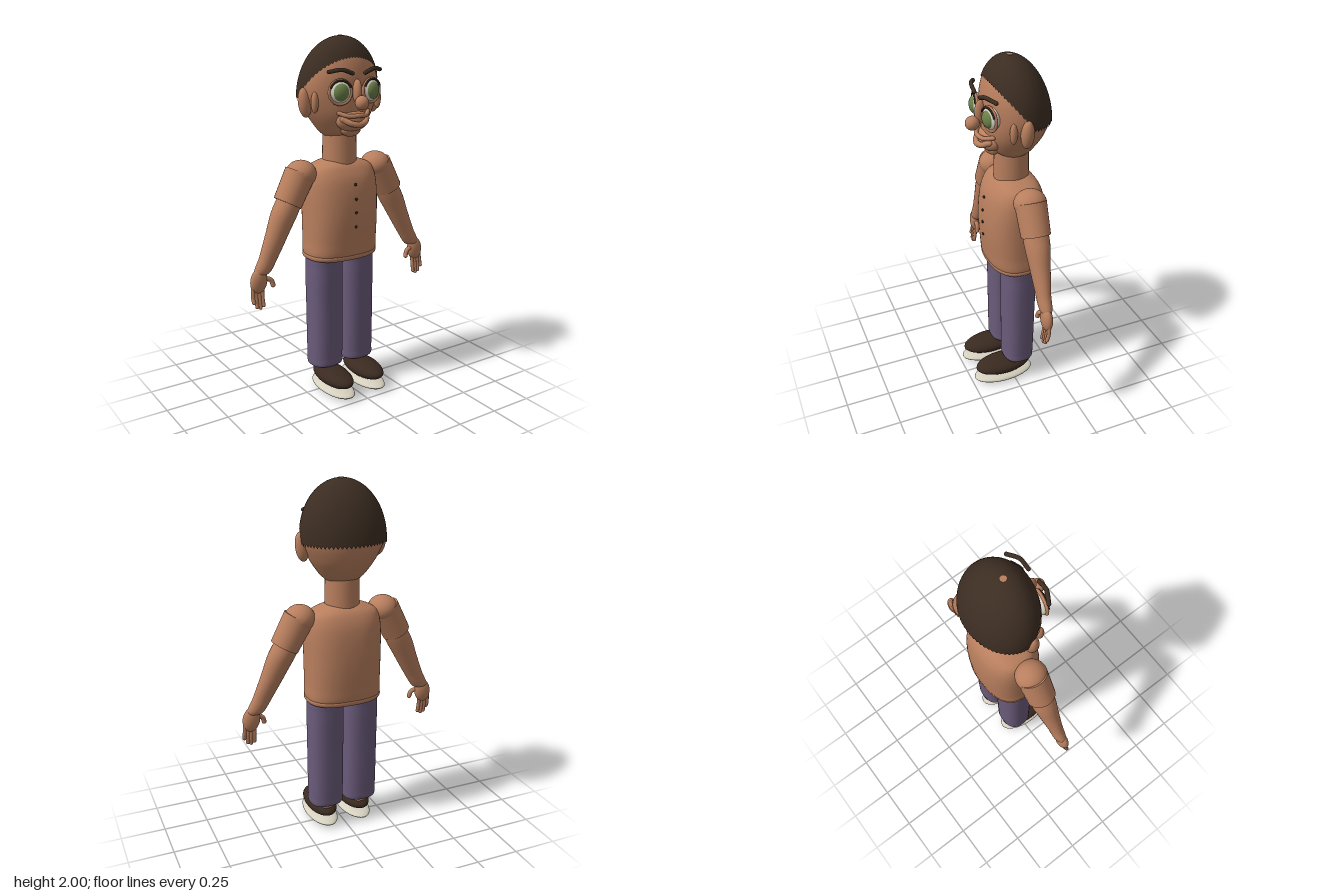
import * as THREE from 'three';

const mat = (name, color) => {
  const m = new THREE.MeshStandardMaterial({ color });
  m.name = name;
  return m;
};

export function createModel() {
  const skin = mat('skin', 0xb97f5e);
  const hairCol = mat('hair brown', 0x3c2d22);
  const pants = mat('trouser purple', 0x6b5b7b);
  const shoeCol = mat('shoe brown', 0x3a2a20);
  const soleCol = mat('sole cream', 0xd6d0bf);
  const white = mat('eye white', 0xd9d5c6);
  const green = mat('iris green', 0x6c8049);
  const dark = mat('button dark', 0x2a211c);

  const root = new THREE.Group();
  const add = (name, geo, material, parent = root) => {
    const m = new THREE.Mesh(geo, material);
    m.name = name;
    parent.add(m);
    return m;
  };
  const V = (p) => new THREE.Vector3(...p);

  // Ellipsoid with centre c and radii r
  const ball = (name, c, r, material, parent) => {
    const m = add(name, new THREE.SphereGeometry(1, 32, 20), material, parent);
    m.position.set(...c);
    m.scale.set(...r);
    return m;
  };

  // Smooth body through level rings [y, rx, rz, zCentre, xCentre], listed from bottom to top
  const loft = (rows, power = 2, steps = 40, seg = 40) => {
    const sizes = new THREE.CatmullRomCurve3(rows.map((r) => V([r[0], r[1], r[2]])), false, 'centripetal');
    const mids = new THREE.CatmullRomCurve3(rows.map((r) => V([r[0], r[3], r[4] || 0])), false, 'centripetal');
    const pos = [], idx = [];
    const bend = (v) => Math.sign(v) * Math.abs(v) ** (2 / power);
    for (let i = 0; i <= steps; i++) {
      const s = sizes.getPoint(i / steps), c = mids.getPoint(i / steps);
      for (let j = 0; j < seg; j++) {
        const a = (j / seg) * Math.PI * 2;
        pos.push(c.z + bend(Math.cos(a)) * Math.max(s.y, 0.0005), s.x,
          c.y + bend(Math.sin(a)) * Math.max(s.z, 0.0005));
        if (i < steps) {
          const p = i * seg + j, q = i * seg + ((j + 1) % seg);
          idx.push(p, p + seg, q, q, p + seg, q + seg);
        }
      }
    }
    const g = new THREE.BufferGeometry();
    g.setAttribute('position', new THREE.Float32BufferAttribute(pos, 3));
    g.setIndex(idx);
    g.computeVertexNormals();
    return g;
  };

  // Straight round piece between two points
  const rod = (name, a, b, ra, rb, material, parent) => {
    const A = V(a), B = V(b), d = B.clone().sub(A);
    const m = add(name, new THREE.CylinderGeometry(rb, ra, d.length(), 28), material, parent);
    m.position.copy(A).add(B).multiplyScalar(0.5);
    m.quaternion.setFromUnitVectors(new THREE.Vector3(0, 1, 0), d.normalize());
    return m;
  };

  // Curved tube with round ends
  const tube = (name, pts, r, material, parent) => {
    const g = new THREE.Group();
    g.name = name;
    (parent || root).add(g);
    add(name + 'Tube', new THREE.TubeGeometry(new THREE.CatmullRomCurve3(pts.map(V)), 20, r, 10), material, g);
    [pts[0], pts[pts.length - 1]].forEach((p) => ball(name + 'End', p, [r, r, r], material, g));
    return g;
  };

  // Head and neck
  add('head', loft([
    [1.455, 0, 0, -0.05], [1.463, 0.07, 0.06, -0.045], [1.49, 0.112, 0.1, -0.04], [1.53, 0.145, 0.13, -0.042],
    [1.6, 0.19, 0.162, -0.048], [1.7, 0.23, 0.174, -0.056], [1.8, 0.218, 0.164, -0.046],
    [1.9, 0.168, 0.128, -0.036], [1.96, 0.1, 0.075, -0.03], [1.985, 0, 0, -0.028],
  ], 2, 60), skin);
  add('neck', new THREE.CylinderGeometry(0.092, 0.096, 0.2, 32), skin).position.set(0, 1.4, -0.04);

  // Hair cap: a dome whose lower rim follows a sloping hairline
  const hair = new THREE.SphereGeometry(1, 64, 32);
  const hp = hair.attributes.position, uv = hair.attributes.uv;
  const dome = (t, a) => V([-0.237 * Math.cos(a) * Math.sin(t), 1.7 + 0.3 * Math.cos(t),
    -0.057 + 0.18 * Math.sin(a) * Math.sin(t) + 0.03 * Math.cos(t)]);
  for (let i = 0; i < hp.count; i++) {
    const a = uv.getX(i) * Math.PI * 2;
    let lo = 0, hi = 2;
    for (let k = 0; k < 24; k++) {
      const t = (lo + hi) / 2, p = dome(t, a);
      if (p.y > Math.max(1.67, 1.885 - (0.1 - p.z) * 1.25)) lo = t; else hi = t;
    }
    const p = dome(lo * (1 - uv.getY(i)), a);
    hp.setXYZ(i, p.x, p.y, p.z);
  }
  hair.computeVertexNormals();
  const hairSkin = hairCol;
  hairSkin.side = THREE.DoubleSide;
  add('hair', hair, hairSkin);
  add('crownSpot', new THREE.CylinderGeometry(0.016, 0.016, 0.004, 20), skin).position.set(0, 1.999, -0.03);

  // Nose, muzzle and lips
  ball('noseTip', [0, 1.665, 0.175], [0.036, 0.038, 0.038], skin);
  ball('noseBridge', [0, 1.72, 0.132], [0.022, 0.065, 0.03], skin);
  ball('muzzle', [0, 1.565, 0.085], [0.098, 0.06, 0.055], skin);
  ball('chin', [0, 1.515, 0.07], [0.06, 0.04, 0.04], skin);
  tube('upperLip', [[-0.092, 1.608, 0.098], [-0.05, 1.594, 0.136], [0, 1.596, 0.15], [0.05, 1.594, 0.136],
    [0.092, 1.608, 0.098]], 0.012, skin);
  tube('lowerLip', [[-0.075, 1.575, 0.11], [-0.04, 1.555, 0.142], [0, 1.548, 0.152], [0.04, 1.555, 0.142],
    [0.075, 1.575, 0.11]], 0.016, skin);

  // Features and limbs, once per side
  for (const s of [1, -1]) {
    const side = new THREE.Group();
    side.name = s > 0 ? 'leftSide' : 'rightSide';
    root.add(side);

    // Eye with socket rim, lashes and brow
    const eye = new THREE.Group();
    eye.name = 'eye';
    eye.position.set(s * 0.096, 1.72, 0.11);
    eye.rotation.y = s * 0.2;
    side.add(eye);
    ball('eyeball', [0, 0, 0], [0.06, 0.06, 0.036], white, eye);
    ball('iris', [0, 0, 0.016], [0.045, 0.047, 0.029], green, eye);
    add('socketRim', new THREE.TorusGeometry(0.062, 0.008, 10, 36), skin, eye).position.z = 0.01;
    add('lashes', new THREE.TorusGeometry(0.06, 0.006, 8, 24, 2.4), dark, eye).position.z = 0.018;
    eye.children[3].rotation.z = 0.37;
    tube('brow', [[s * 0.04, 1.815, 0.146], [s * 0.1, 1.835, 0.14], [s * 0.16, 1.825, 0.108]], 0.011, hairCol, side);

    // Ear and cheek
    ball('ear', [s * 0.222, 1.66, -0.032], [0.036, 0.08, 0.034], skin, side).rotation.z = s * -0.12;
    ball('cheek', [s * 0.2, 1.665, 0.033], [0.02, 0.056, 0.02], skin, side);

    // Shoulder, sleeve and bare arm
    ball('shoulder', [s * 0.245, 1.28, -0.042], [0.083, 0.075, 0.088], skin, side);
    rod('sleeve', [s * 0.25, 1.285, -0.042], [s * 0.334, 1.13, -0.038], 0.085, 0.079, skin, side);
    add('arm', loft([
      [0.765, 0.001, 0.001, -0.024, s * 0.506], [0.772, 0.045, 0.03, -0.024, s * 0.505],
      [0.86, 0.056, 0.04, -0.027, s * 0.458], [0.975, 0.067, 0.054, -0.033, s * 0.402],
      [1.09, 0.078, 0.068, -0.038, s * 0.348], [1.16, 0.072, 0.068, -0.04, s * 0.315],
    ], 2, 30, 28), skin, side);

    // Hand
    ball('palm', [s * 0.528, 0.732, -0.02], [0.049, 0.07, 0.03], skin, side).rotation.z = s * 0.15;
    for (let f = 0; f < 4; f++) {
      const x = 0.508 + f * 0.019, tip = [0.585, 0.575, 0.582, 0.61][f];
      tube('finger', [[s * x, 0.7, -0.02], [s * (x + 0.004), 0.645, -0.014],
        [s * (x + 0.003), tip + 0.01, -0.006]], 0.0105, skin, side);
    }
    tube('thumb', [[s * 0.5, 0.745, -0.015], [s * 0.462, 0.73, -0.008], [s * 0.451, 0.7, -0.004]], 0.013, skin, side);

    // Trouser leg, ankle and shoe
    add('trouserLeg', loft([
      [0.145, 0, 0, -0.037], [0.143, 0.08, 0.072, -0.037], [0.15, 0.096, 0.086, -0.037], [0.2, 0.098, 0.089, -0.038],
      [0.5, 0.1, 0.093, -0.04], [0.74, 0.1, 0.095, -0.042], [0.81, 0.094, 0.09, -0.042], [0.83, 0, 0, -0.042],
    ].map((r) => [...r, s * 0.104]), 2.5), pants, side);
    rod('ankle', [s * 0.104, 0.08, -0.055], [s * 0.104, 0.2, -0.055], 0.04, 0.04, skin, side);
    ball('shoe', [s * 0.105, 0.094, 0.052], [0.084, 0.05, 0.171], shoeCol, side);
    ball('sole', [s * 0.105, 0.03, 0.052], [0.087, 0.027, 0.184], soleCol, side).position.y = 0.027;
  }

  // Torso with hem and buttons
  add('torso', loft([
    [0.8, 0, 0, -0.042], [0.802, 0.19, 0.13, -0.042], [0.81, 0.21, 0.148, -0.042], [0.9, 0.211, 0.16, -0.041],
    [1.05, 0.212, 0.168, -0.04], [1.18, 0.212, 0.16, -0.042], [1.25, 0.205, 0.145, -0.044],
    [1.3, 0.185, 0.12, -0.046], [1.33, 0.125, 0.09, -0.045], [1.345, 0.07, 0.06, -0.043], [1.35, 0, 0, -0.042],
  ], 2.5, 60, 48), skin);
  add('hem', loft([
    [0.789, 0.17, 0.12, -0.042], [0.79, 0.205, 0.144, -0.042], [0.8, 0.214, 0.151, -0.042],
    [0.815, 0.215, 0.152, -0.042], [0.822, 0.205, 0.144, -0.042],
  ], 2.5, 16, 48), skin);
  [[1.22, 0.12], [1.14, 0.128], [1.065, 0.129], [0.985, 0.127]].forEach(([y, z]) =>
    ball('button', [0, y, z], [0.008, 0.008, 0.006], dark));

  return root;
}
